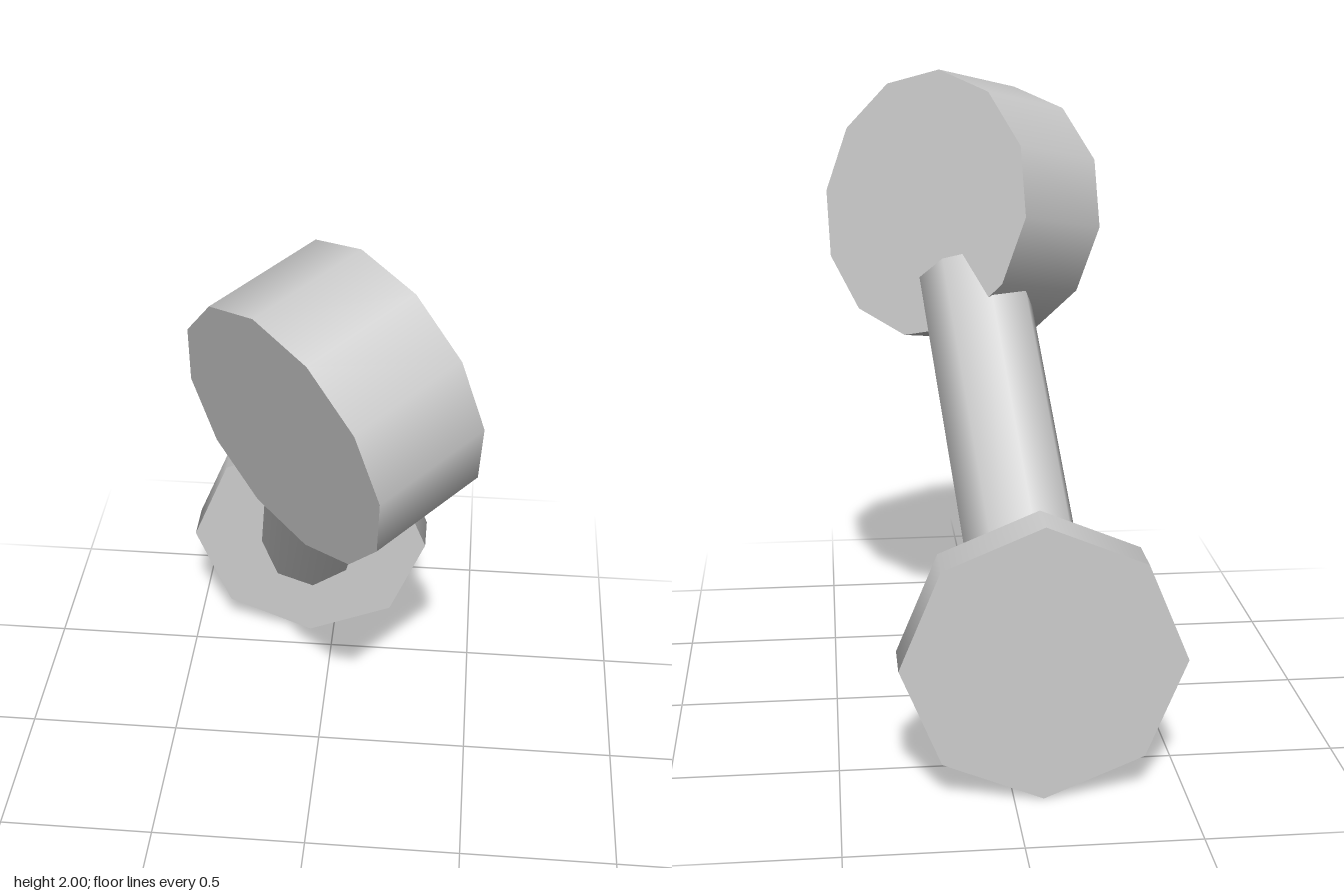
import * as THREE from 'three';

const UP = new THREE.Vector3(0, 1, 0);

// Cylinder between two points, with one corner of its polygon pointing as far up as possible
function cylinderBetween(name, from, to, radius, sides, material) {
  const a = new THREE.Vector3(...from);
  const b = new THREE.Vector3(...to);
  const axis = b.clone().sub(a);
  const length = axis.length();
  axis.normalize();
  const corner = UP.clone().addScaledVector(axis, -axis.y).normalize();
  const side = new THREE.Vector3().crossVectors(axis, corner);

  const mesh = new THREE.Mesh(new THREE.CylinderGeometry(radius, radius, length, sides), material);
  mesh.name = name;
  mesh.quaternion.setFromRotationMatrix(new THREE.Matrix4().makeBasis(side, axis, corner));
  mesh.position.copy(a).add(b).multiplyScalar(0.5);
  return mesh;
}

export function createModel() {
  const grey = new THREE.MeshStandardMaterial({ color: 0xcccccc });
  grey.name = 'light grey';

  const model = new THREE.Group();
  model.name = 'wallLamp';
  model.add(
    // Octagonal mounting plate at the back
    cylinderBetween('wallPlate', [-0.086, 0.415, -0.729], [-0.086, 0.415, -0.585], 0.415, 8, grey),
    // Slanted arm rising from the middle of the plate into the head
    cylinderBetween('arm', [-0.086, 0.417, -0.585], [0.04, 1.37, 0.14], 0.173, 8, grey),
    // Twelve-sided head, turned sideways and tipped slightly down
    cylinderBetween('head', [0.198, 1.593, 0.17], [-0.067, 1.513, 0.435], 0.416, 12, grey)
  );
  return model;
}
